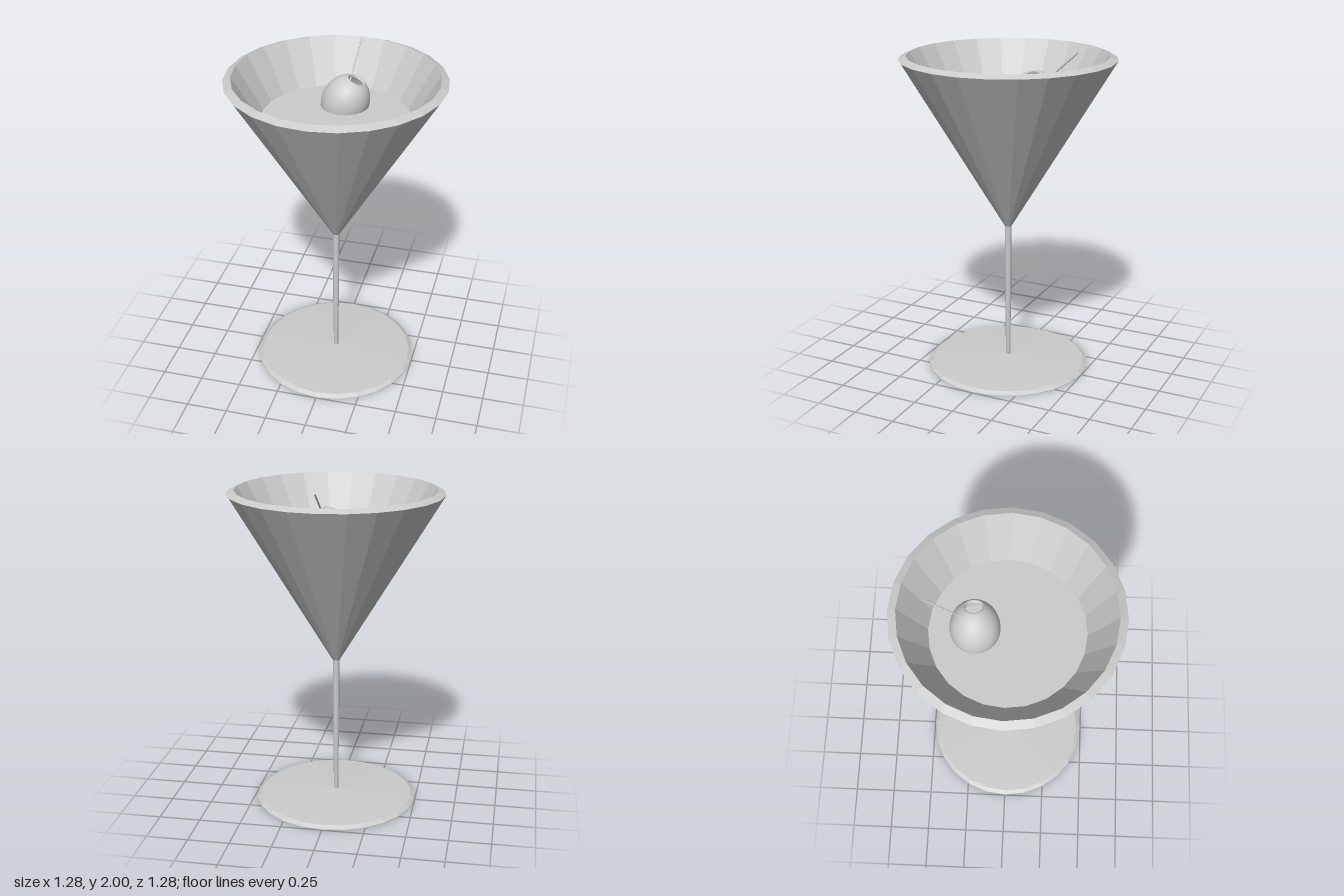
import * as THREE from 'three';

const SIDES = 24;
const flat = new THREE.MeshStandardMaterial({ color: 0xcccccc, flatShading: true, side: THREE.DoubleSide });
const smooth = new THREE.MeshStandardMaterial({ color: 0xcccccc, side: THREE.DoubleSide });

function lathe(name, profile, material, sides = SIDES) {
  const points = profile.map(([r, y]) => new THREE.Vector2(r, y));
  const mesh = new THREE.Mesh(new THREE.LatheGeometry(points, sides), material);
  mesh.name = name;
  return mesh;
}

export function createModel() {
  const group = new THREE.Group();
  group.name = 'cocktailGlass';

  // Thin, slightly domed foot with a hollow underside
  group.add(lathe('foot', [[0, 0.028], [0.478, 0.012], [0.497, 0], [0.497, 0.004], [0.472, 0.02], [0, 0.046]], flat));

  // Slender stem, a little thicker towards the bowl
  group.add(lathe('stem', [[0, 0.024], [0.015, 0.024], [0.016, 0.3], [0.019, 0.42], [0.02, 0.91]], smooth, 16));

  // Conical bowl: outer wall, bevelled rim, inner wall
  group.add(lathe('bowl', [[0, 0.9], [0.021, 0.9], [0.64, 1.93], [0.595, 1.95], [0, 0.96]], flat));

  // Drink filling the lower part of the bowl
  group.add(lathe('drink', [[0, 0.98], [0.438, 1.69], [0, 1.69]], flat));

  // Hollow olive with a rounded lip around its open end
  const a = 0.166, b = 0.14, profile = [];
  for (let i = 0; i <= 20; i++) {
    const t = -Math.PI / 2 + (i / 20) * (Math.PI / 2 + 1.1);
    profile.push([Math.max(0, b * Math.cos(t)), a * Math.sin(t)]);
  }
  profile.push([0.057, 0.152], [0.052, 0.152], [0.048, 0.148], [0.047, 0.138]);
  const olive = lathe('olive', profile, smooth, 40);
  olive.position.set(0.01, 1.715, -0.18);
  const up = new THREE.Vector3(0, 1, 0);
  olive.quaternion.setFromUnitVectors(up, new THREE.Vector3(0.42, 0.905, -0.04).normalize());
  group.add(olive);

  // Pick running through the olive
  const tip = new THREE.Vector3(0.04, 2, -0.45);
  const end = new THREE.Vector3(-0.003, 1.57, 0.035);
  const along = tip.clone().sub(end);
  const pick = new THREE.Mesh(new THREE.CylinderGeometry(0.005, 0.005, along.length(), 8), flat);
  pick.name = 'pick';
  pick.position.copy(tip).add(end).multiplyScalar(0.5);
  pick.quaternion.setFromUnitVectors(up, along.normalize());
  group.add(pick);

  return group;
}
